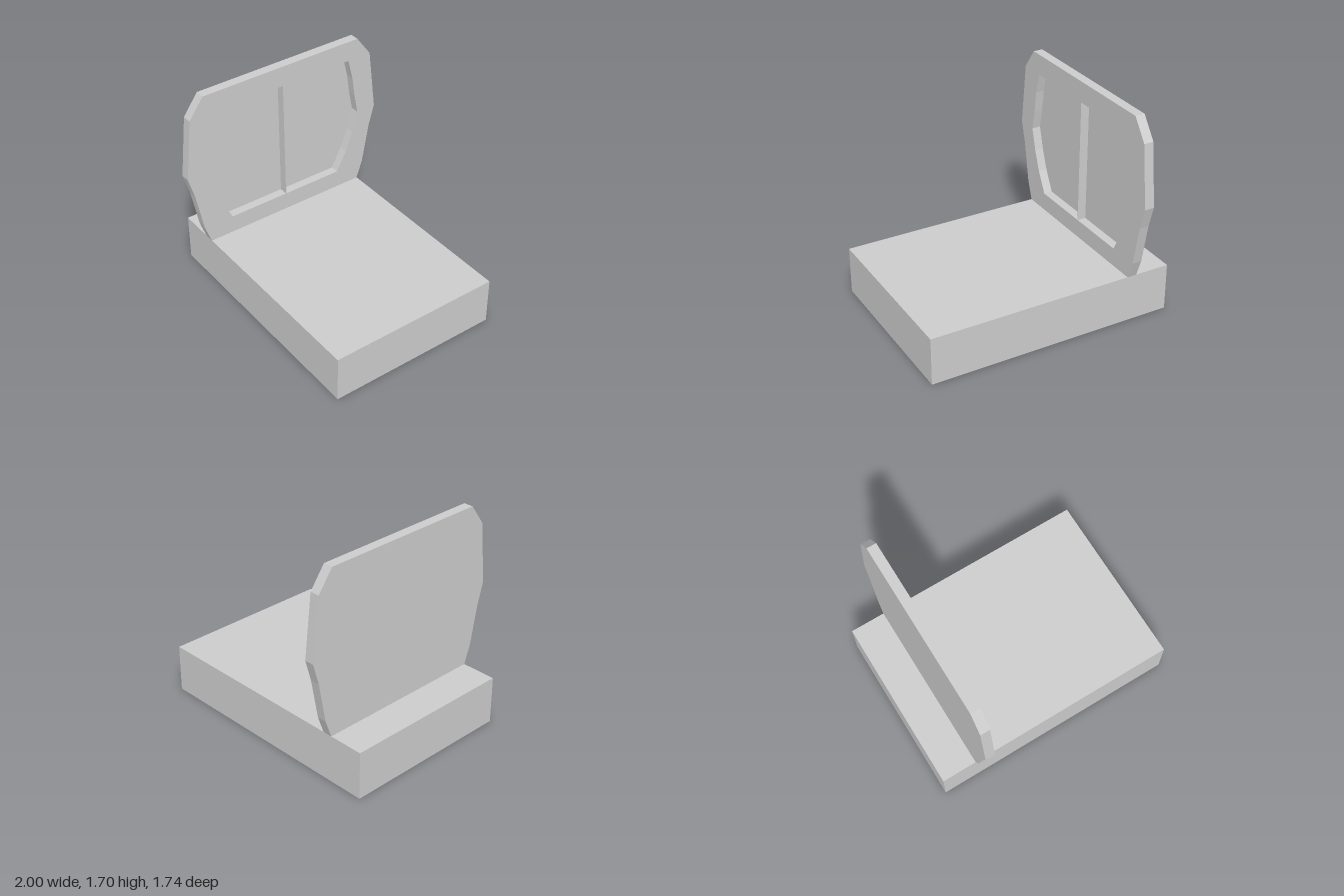
import * as THREE from 'three';

const BACK = -0.717, FRONT = -0.64, FLOOR = -0.711;

// Half profiles as [half width, height], from bottom to top
const OUTER = [[0.704, 0.384], [0.757, 0.53], [0.82, 0.86], [0.87, 1.033], [0.816, 1.533], [0.695, 1.7]];
const INNER = [[0.503, 0.53], [0.592, 0.695], [0.653, 0.858], [0.702, 1.033], [0.672, 1.198], [0.65, 1.365], [0.61, 1.533]];

// Closed symmetric outline from one half profile
function outline(half) {
  const left = half.map(([u, v]) => [-u, v]).reverse();
  return [...half, ...left].map(([u, v]) => new THREE.Vector2(u, v));
}

// Extrudes an upright shape along x, between two x positions
function slab(shape, x0, x1) {
  const geometry = new THREE.ExtrudeGeometry(shape, { depth: x1 - x0, bevelEnabled: false });
  return geometry.rotateY(Math.PI / 2).translate(x0, 0, 0);
}

export function createModel() {
  const model = new THREE.Group();
  const material = new THREE.MeshStandardMaterial({ color: 0xcccccc, flatShading: true });
  const add = (name, geometry) => {
    const mesh = new THREE.Mesh(geometry, material);
    mesh.name = name;
    model.add(mesh);
  };

  // Flat block that carries the panel
  add('base', new THREE.BoxGeometry(2, 0.384, 1.408).translate(0, 0.192, 0));

  // Upright frame with its opening
  const frame = new THREE.Shape(outline(OUTER));
  frame.holes.push(new THREE.Path(outline(INNER)));
  add('panelFrame', slab(frame, FLOOR, FRONT));

  // Thin sheet closing the back of the frame
  add('panelBack', slab(new THREE.Shape(outline(OUTER)), BACK, FLOOR));

  // Thin upright divider in the middle of the recess
  const depth = FRONT - FLOOR;
  add('divider', new THREE.BoxGeometry(depth, 1.003, 0.004).translate(FLOOR + depth / 2, 1.0315, 0));

  return model;
}
